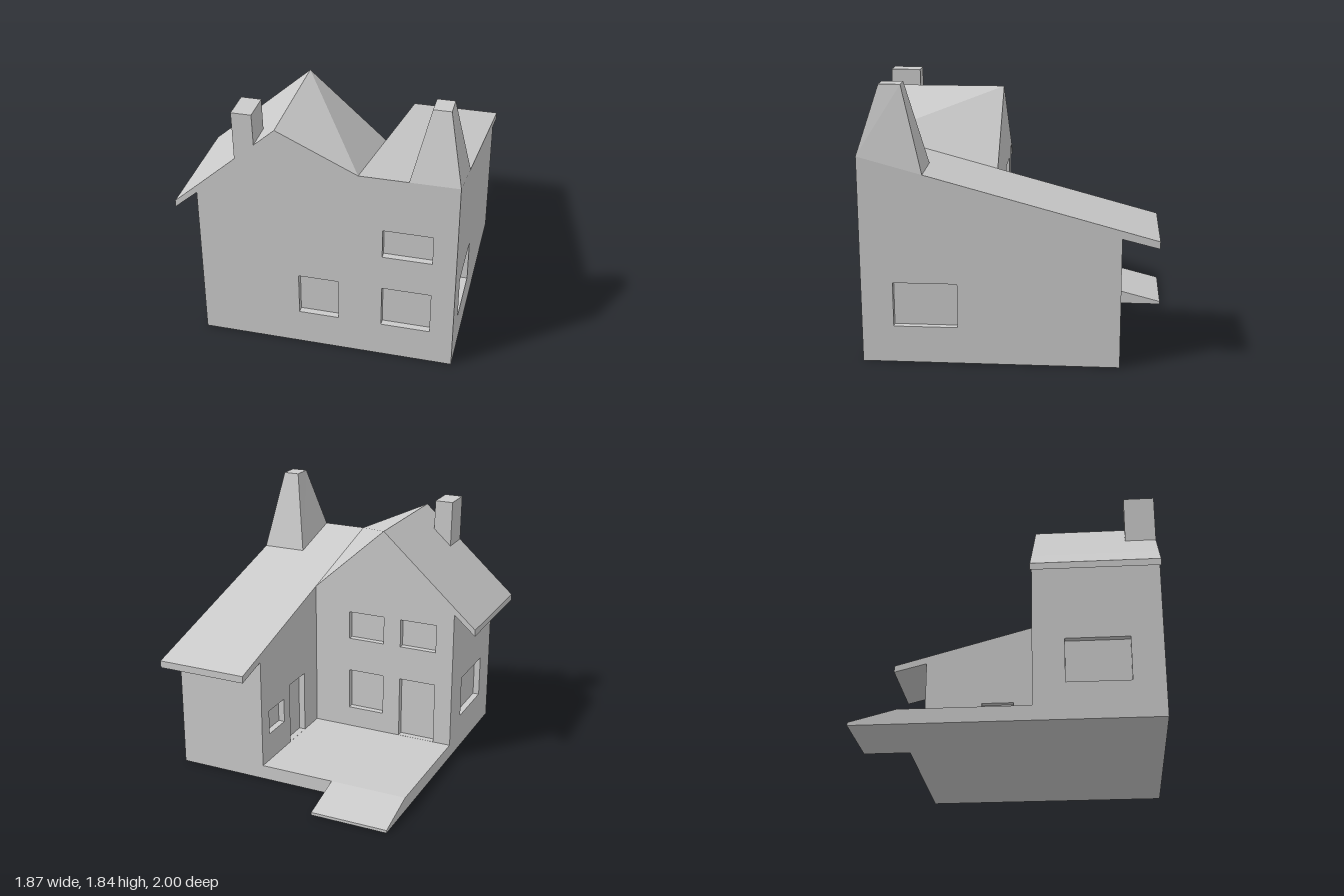
import * as THREE from 'three';

const material = new THREE.MeshStandardMaterial({ color: 0xcccccc, flatShading: true });

// Main dimensions
const LEFT = -0.78, RIGHT = 0.93, WING = 0.29, RIDGE = -0.24;
const FRONT = 1, MID = 0.16, BACK = -0.69;
const PATIO = 0.1, RECESS = 0.045;
const wingRoof = z => 1.39 + (z - 1) * 0.27;
const gableRoof = x => 1.64 + (x - RIDGE) * 0.898;

// Flat faces, each a list of corners counter-clockwise from outside
function facesGeometry(faces) {
  const pos = [];
  for (const f of faces)
    for (let i = 1; i < f.length - 1; i++) pos.push(...f[0], ...f[i], ...f[i + 1]);
  const g = new THREE.BufferGeometry();
  g.setAttribute('position', new THREE.Float32BufferAttribute(pos, 3));
  g.computeVertexNormals();
  return g;
}

function addMesh(parent, name, geometry) {
  const m = new THREE.Mesh(geometry, material);
  m.name = name;
  parent.add(m);
  return m;
}

// Four sides and a top between two rings of corners
function stack(base, top) {
  const sides = base.map((b, i) => {
    const j = (i + 1) % base.length;
    return [b, base[j], top[j], top[i]];
  });
  return facesGeometry([...sides, top]);
}

// Ring of a rectangle, with its height given by a function of x and z
const ring = (x0, x1, z0, z1, y) =>
  [[x0, z1], [x1, z1], [x1, z0], [x0, z0]].map(([x, z]) => [x, y(x, z), z]);

// Facing directions: turn about y, sign of the horizontal coordinate, offset axis
const FACING = {
  front: [0, 1, 'z'], back: [Math.PI, -1, 'z'],
  right: [Math.PI / 2, -1, 'x'], left: [-Math.PI / 2, 1, 'x'],
};

// Wall in a vertical plane with recessed openings [from, to, bottom, top]
function addWall(parent, name, facing, offset, outline, openings = []) {
  const [turn, sign, axis] = FACING[facing];
  const shape = new THREE.Shape(outline.map(([u, y]) => new THREE.Vector2(u * sign, y)));
  const wall = new THREE.Group();
  wall.name = name;
  wall.rotation.y = turn;
  wall.position[axis] = offset;
  const recesses = [];
  for (const [from, to, y0, y1] of openings) {
    const a = Math.min(from * sign, to * sign), b = Math.max(from * sign, to * sign);
    const c = [[a, y0], [b, y0], [b, y1], [a, y1]];
    shape.holes.push(new THREE.Path(c.map(p => new THREE.Vector2(...p))));
    recesses.push(stack(c.map(p => [...p, 0]), c.map(p => [...p, -RECESS])));
    // turn the sides inwards and the pane outwards
    const faces = c.map((p, i) => {
      const q = c[(i + 1) % 4];
      return [[...p, 0], [...q, 0], [...q, -RECESS], [...p, -RECESS]];
    });
    recesses[recesses.length - 1] = facesGeometry([...faces, c.map(p => [...p, -RECESS])]);
  }
  addMesh(wall, name + 'Face', new THREE.ShapeGeometry(shape));
  recesses.forEach((g, i) => addMesh(wall, name + 'Opening' + (i + 1), g));
  parent.add(wall);
}

// Prism with its profile in the z-y plane, running along x
function addPrismX(parent, name, profile, x0, x1) {
  const shape = new THREE.Shape(profile.map(([z, y]) => new THREE.Vector2(-z, y)));
  const m = addMesh(parent, name, new THREE.ExtrudeGeometry(shape, { depth: x1 - x0, bevelEnabled: false }));
  m.rotation.y = Math.PI / 2;
  m.position.x = x0;
}

export function createModel() {
  const house = new THREE.Group();
  house.name = 'house';

  // Walls with windows and doors
  const eaveY = gableRoof(LEFT);
  const sideWindow = [0.37, 0.79, 0.25, 0.55];
  addWall(house, 'frontWall', 'front', FRONT,
    [[LEFT, 0], [RIGHT, 0], [RIGHT, 1.39], [WING, 1.39], [RIDGE, 1.64], [LEFT, eaveY]],
    [[-0.11, 0.16, 0.25, 0.55], [0.45, 0.775, 0.25, 0.55], [0.45, 0.775, 0.8, 1.005]]);
  addWall(house, 'wingOuterWall', 'right', RIGHT,
    [[BACK, 0], [FRONT, 0], [FRONT, 1.39], [BACK, wingRoof(BACK)]], [sideWindow]);
  addWall(house, 'gableOuterWall', 'left', LEFT,
    [[BACK, 0], [FRONT, 0], [FRONT, eaveY - 0.05], [MID, eaveY - 0.05], [MID, PATIO], [BACK, PATIO]],
    [sideWindow]);
  addWall(house, 'wingBackWall', 'back', BACK,
    [[RIGHT, 0], [RIGHT, 0.88], [WING, 0.88], [WING, PATIO], [RIDGE, PATIO], [RIDGE, 0]]);
  addWall(house, 'wingInnerWall', 'left', WING,
    [[BACK, PATIO], [MID, PATIO], [MID, wingRoof(MID)], [BACK, wingRoof(BACK)]],
    [[-0.585, -0.365, 0.3, 0.475], [-0.275, -0.045, PATIO + 0.001, 0.55]]);
  addWall(house, 'gableBackWall', 'back', MID,
    [[LEFT, PATIO], [WING, PATIO], [WING, wingRoof(MID)], [RIDGE, 1.64], [LEFT, eaveY]],
    [[-0.25, 0.02, 0.25, 0.55], [-0.25, 0.02, 0.8, 1.005],
      [-0.65, -0.38, 0.8, 1.005], [-0.65, -0.38, PATIO + 0.001, 0.55]]);

  // Roof surfaces; the inner gable slope folds down to meet the wing
  addMesh(house, 'wingRoof', facesGeometry([ring(WING, RIGHT, BACK, FRONT, (x, z) => wingRoof(z))]));
  addMesh(house, 'gableOuterRoof', facesGeometry([ring(LEFT, RIDGE, MID, FRONT, gableRoof)]));
  const peakF = [RIDGE, 1.64, FRONT], peakB = [RIDGE, 1.64, MID];
  const valleyF = [WING, 1.39, FRONT], valleyB = [WING, wingRoof(MID), MID];
  addMesh(house, 'gableInnerRoof', facesGeometry([[peakF, valleyF, peakB], [peakB, valleyF, valleyB]]));

  // Overhanging eaves
  const eave = new THREE.Shape([[-0.935, 0.97], [LEFT, eaveY - 0.05], [LEFT, eaveY], [-0.935, 1.017]]
    .map(p => new THREE.Vector2(...p)));
  addMesh(house, 'gableEave', new THREE.ExtrudeGeometry(eave, { depth: FRONT - MID, bevelEnabled: false }))
    .position.z = MID;
  addPrismX(house, 'wingEave',
    [[BACK, wingRoof(BACK)], [-0.93, wingRoof(-0.93)], [-0.93, 0.82], [BACK, 0.88]], WING, RIGHT);

  // Patio, ramp and underside
  addMesh(house, 'patio', facesGeometry([ring(LEFT, WING, BACK, MID, () => PATIO)]));
  addPrismX(house, 'ramp', [[BACK, 0], [BACK, PATIO], [-1, 0.02], [-1, 0]], LEFT, RIDGE);
  addMesh(house, 'floor', facesGeometry([ring(LEFT, RIGHT, BACK, FRONT, () => 0).reverse()]));

  // Chimneys, their feet following the roof slopes
  addMesh(house, 'taperedChimney', stack(
    ring(0.61, RIGHT, 0.58, FRONT, (x, z) => wingRoof(z)), ring(0.715, 0.83, 0.72, 0.86, () => 1.835)));
  addMesh(house, 'smallChimney', stack(
    ring(-0.51, -0.378, 0.79, FRONT, gableRoof), ring(-0.515, -0.383, 0.79, FRONT, () => 1.728)));

  return house;
}
